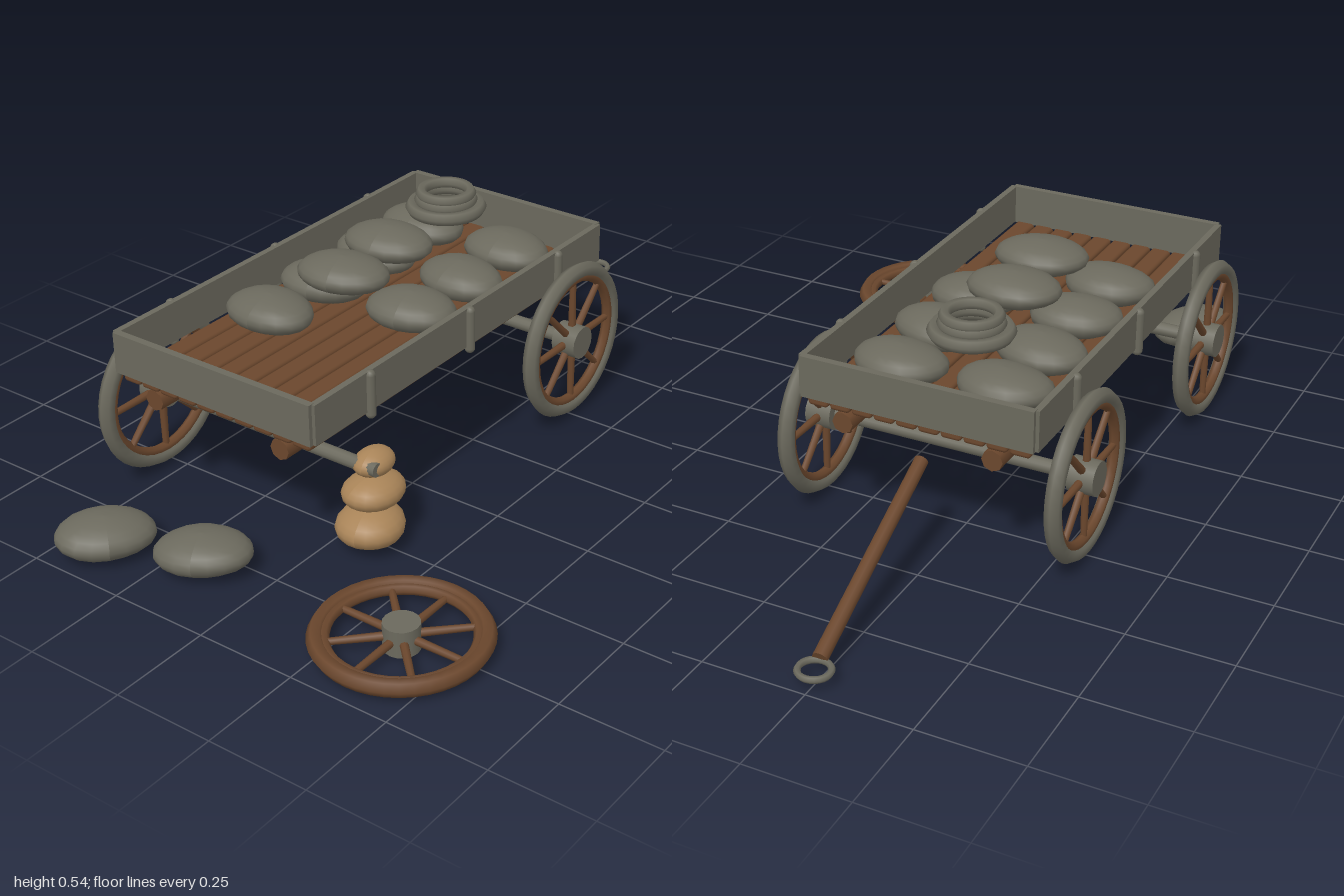
import * as THREE from 'three';
import { RoundedBoxGeometry } from 'three/addons/geometries/RoundedBoxGeometry.js';

const mat = (name, color) => new THREE.MeshStandardMaterial({ name, color });

export function createModel() {
  const root = new THREE.Group();
  root.name = 'stoneWagon';
  const grey = mat('weatheredGrey', 0x6b695d);
  const brown = mat('brownWood', 0x6b472d);
  const tan = mat('tanStone', 0xa98458);

  const add = (name, geo, material, x = 0, y = 0, z = 0, parent = root) => {
    const m = new THREE.Mesh(geo, material);
    m.name = name;
    m.position.set(x, y, z);
    parent.add(m);
    return m;
  };
  // Round bar between two points
  const bar = (name, a, b, r0, r1, sides, material, parent = root) => {
    const A = new THREE.Vector3(...a), B = new THREE.Vector3(...b);
    const dir = B.clone().sub(A);
    const m = add(name, new THREE.CylinderGeometry(r1, r0, dir.length(), sides), material, 0, 0, 0, parent);
    m.position.copy(A).add(B).multiplyScalar(0.5);
    m.quaternion.setFromUnitVectors(new THREE.Vector3(0, 1, 0), dir.normalize());
    return m;
  };

  // Wagon bed: floor planks, two runners, four walls
  const midX = -0.13, midZ = -0.212;
  for (let i = 0; i < 10; i++) {
    add('floorPlank', new RoundedBoxGeometry(1.13, 0.026, 0.051, 2, 0.009), brown,
      midX, 0.343, midZ + (i - 4.5) * 0.0557);
  }
  for (const z of [-0.026, -0.398]) {
    bar('runner', [-0.69, 0.305, z], [0.435, 0.305, z], 0.026, 0.026, 8, brown);
  }
  for (const s of [-1, 1]) {
    add('sideBoard', new THREE.BoxGeometry(1.13, 0.1, 0.016), grey, midX, 0.404, midZ + s * 0.288);
    add('endBoard', new THREE.BoxGeometry(0.018, 0.102, 0.575), grey, midX + s * 0.566, 0.404, midZ);
    for (const x of [-0.505, -0.13, 0.24]) {
      add('wallCleat', new THREE.CapsuleGeometry(0.013, 0.096, 4, 10), grey, x, 0.396, midZ + s * 0.296);
    }
  }

  // Wheel facing +z: rim, inner felloe, hub and eight spokes
  const wheel = (name, rimMaterial, x, y, z) => {
    const g = new THREE.Group();
    g.name = name;
    g.position.set(x, y, z);
    root.add(g);
    add('rim', new THREE.TorusGeometry(0.183, 0.02, 6, 40), rimMaterial, 0, 0, 0, g);
    add('felloe', new THREE.TorusGeometry(0.165, 0.013, 6, 40), brown, 0, 0, 0, g);
    add('hub', new THREE.CylinderGeometry(0.042, 0.042, 0.065, 16), grey, 0, 0, 0, g).rotation.x = Math.PI / 2;
    for (let i = 0; i < 8; i++) {
      const c = Math.cos(i * Math.PI / 4), s = Math.sin(i * Math.PI / 4);
      bar('spoke', [c * 0.03, s * 0.03, 0], [c * 0.165, s * 0.165, 0], 0.01, 0.008, 8, brown, g);
    }
    return g;
  };
  wheel('frontLeftWheel', grey, 0.255, 0.215, 0.122);
  wheel('frontRightWheel', grey, 0.255, 0.215, -0.547);
  wheel('rearRightWheel', grey, -0.52, 0.215, -0.547);
  wheel('fallenWheel', brown, -0.782, 0.037, 0.374).rotation.x = -Math.PI / 2;
  bar('frontAxle', [0.255, 0.215, -0.55], [0.255, 0.215, 0.125], 0.017, 0.017, 12, grey);
  bar('rearAxle', [-0.52, 0.215, -0.55], [-0.52, 0.215, 0.11], 0.017, 0.017, 12, grey);

  // Drawbar and its ring
  bar('drawbar', [0.41, 0.245, -0.213], [0.925, 0.045, -0.243], 0.017, 0.018, 10, brown);
  add('drawRing', new THREE.TorusGeometry(0.036, 0.008, 6, 24), grey, 0.955, 0.037, -0.247)
    .rotation.x = Math.PI / 2;

  // Slightly uneven rounded stones
  const stone = (name, material, x, y, z, rx, ry, rz, turn, seed, tilt = 0) => {
    const geo = new THREE.SphereGeometry(1, 18, 12);
    const p = geo.attributes.position, v = new THREE.Vector3();
    for (let i = 0; i < p.count; i++) {
      v.fromBufferAttribute(p, i);
      const k = 1 + 0.035 * Math.sin(2.3 * v.x + seed) * Math.cos(2.7 * v.z - seed + v.y);
      p.setXYZ(i, v.x * k * rx, v.y * k * ry, v.z * k * rz);
    }
    geo.computeVertexNormals();
    add(name, geo, material, x, y, z).rotation.set(tilt, turn, 0);
  };
  const load = [
    [-0.335, -0.35], [-0.133, -0.35], [0.072, -0.35], [0.27, -0.35],
    [-0.133, -0.085], [0.072, -0.088], [0.27, -0.088],
  ];
  load.forEach(([x, z], i) =>
    stone('loadStone', grey, x, 0.402, z, 0.088, 0.046, 0.115, 0.15 * Math.sin(i * 2.1), i));
  stone('topStone', grey, -0.222, 0.497, -0.217, 0.088, 0.042, 0.115, 0.2, 2);
  stone('topStone', grey, -0.025, 0.497, -0.235, 0.088, 0.042, 0.115, 0.1, 5);
  stone('groundStone', grey, -0.89, 0.056, -0.387, 0.087, 0.047, 0.118, 0.9, 1, 0.06);
  stone('groundStone', grey, -0.812, 0.055, -0.16, 0.088, 0.046, 0.117, 0.4, 4, -0.06);

  // Stone pile propping the bare axle end
  stone('propStone', tan, -0.515, 0.062, 0.083, 0.088, 0.049, 0.08, 0.2, 3);
  stone('propStone', tan, -0.505, 0.148, 0.085, 0.08, 0.041, 0.067, -0.2, 6);
  stone('propStone', tan, -0.488, 0.212, 0.075, 0.056, 0.031, 0.045, 0.1, 1);

  // Stack of hoops on the load
  for (const [y, R, r] of [[0.497, 0.086, 0.0165], [0.516, 0.065, 0.015], [0.534, 0.062, 0.0145]]) {
    add('hoop', new THREE.TorusGeometry(R, r, 6, 32), grey, 0.226, y, -0.245).rotation.x = Math.PI / 2;
  }
  return root;
}
